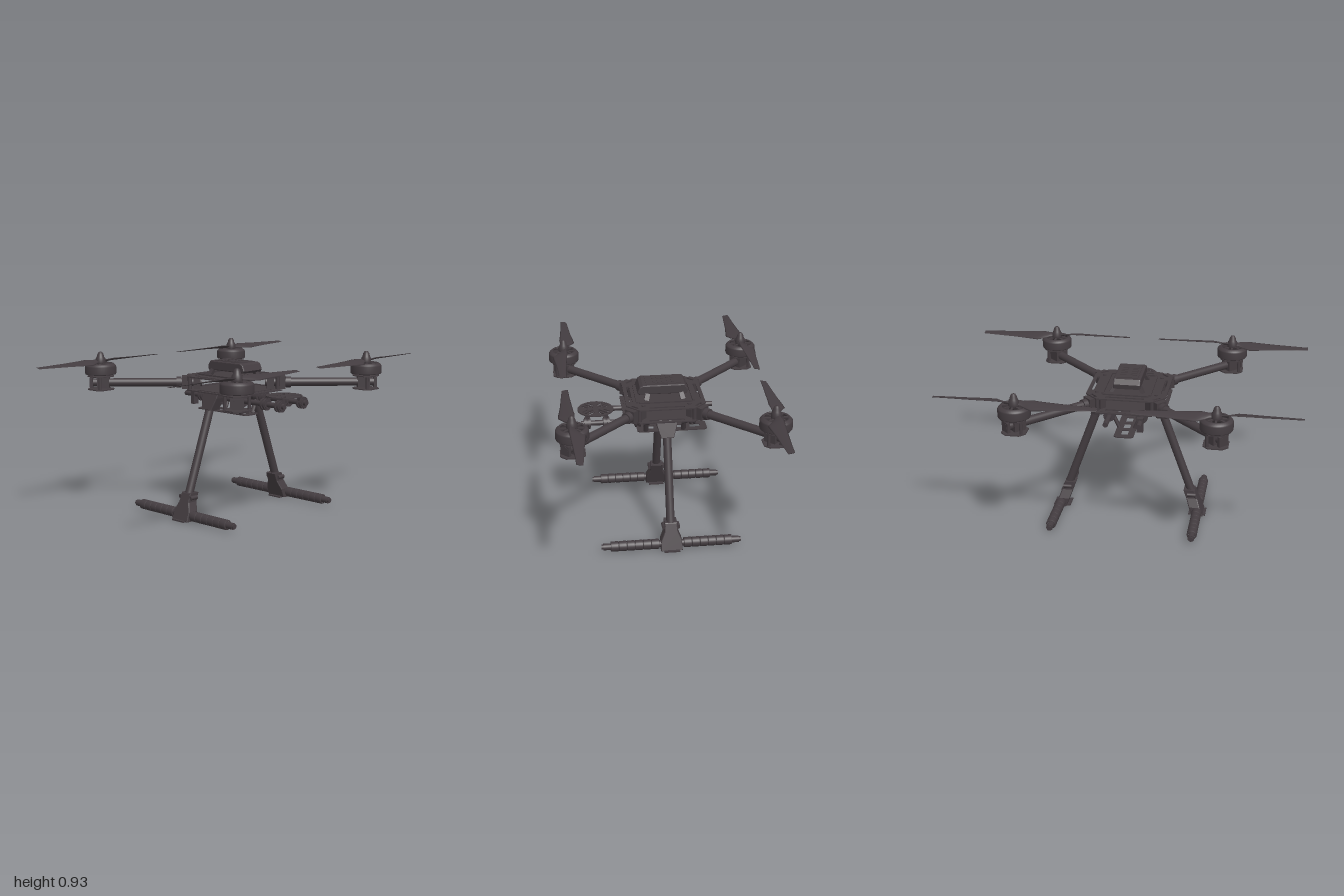
import * as THREE from 'three';

const mat = new THREE.MeshStandardMaterial({ color: 0x433c40 });
const V = (x, y, z) => new THREE.Vector3(x, y, z);

function add(parent, name, geo, x = 0, y = 0, z = 0) {
  const m = new THREE.Mesh(geo, mat);
  m.name = name;
  m.position.set(x, y, z);
  parent.add(m);
  return m;
}
function box(parent, name, w, h, d, x, y, z) {
  return add(parent, name, new THREE.BoxGeometry(w, h, d), x, y, z);
}
// Round bar between two points
function rod(parent, name, a, b, r, sides = 24) {
  const m = add(parent, name, new THREE.CylinderGeometry(r, r, a.distanceTo(b), sides));
  m.position.copy(a).add(b).multiplyScalar(0.5);
  m.quaternion.setFromUnitVectors(V(0, 1, 0), b.clone().sub(a).normalize());
  return m;
}
const poly = pts => new THREE.Shape(pts.map(p => new THREE.Vector2(...p)));
// Rectangle with cut corners
const cutRect = (w, d, c) => poly([[w, d - c], [w - c, d], [c - w, d], [-w, d - c], [-w, c - d], [c - w, -d], [w - c, -d], [w, c - d]]);
function slot(cx, cy, len, wid, angle = 0) {
  const c = Math.cos(angle), s = Math.sin(angle), l = len / 2, w = wid / 2;
  return new THREE.Path([[-l, -w], [-l, w], [l, w], [l, -w]].map(([u, v]) =>
    new THREE.Vector2(cx + u * c - v * s, cy + u * s + v * c)));
}
// Flat horizontal plate whose underside is at y
function plate(parent, name, shape, t, x, y, z = 0) {
  const g = new THREE.ExtrudeGeometry(shape, { depth: t, bevelEnabled: false, curveSegments: 32 });
  return add(parent, name, g.rotateX(-Math.PI / 2), x, y, z);
}
// Front profile extruded in depth and leaned along the leg slope
function leaning(parent, name, pts, depth, zAt) {
  const g = new THREE.ExtrudeGeometry(poly(pts), { depth: depth - 0.012, bevelSize: 0.004, bevelThickness: 0.006, bevelSegments: 2 });
  const p = g.attributes.position;
  for (let i = 0; i < p.count; i++) p.setZ(i, p.getZ(i) - depth / 2 + zAt(p.getY(i)));
  g.computeVertexNormals();
  return add(parent, name, g);
}

// Tapered, twisted blade along +z: [distance, edge x, edge x, pitch]
function bladeGeometry() {
  const rows = [[0.0, -0.014, 0.014, 0.004], [0.04, -0.018, 0.016, 0.008], [0.075, -0.045, 0.019, 0.012], [0.11, -0.07, 0.021, 0.012],
    [0.15, -0.066, 0.017, 0.010], [0.25, -0.053, 0.010, 0.007], [0.36, -0.044, 0.003, 0.005], [0.455, -0.036, -0.001, 0.003]];
  const n = 10, pos = [], idx = [];
  rows.forEach(([z, x0, x1, pitch], i) => {
    for (let j = 0; j < n; j++) {
      const a = j / n * Math.PI * 2, c = Math.cos(a);
      pos.push((x0 + x1) / 2 + c * (x1 - x0) / 2, c * pitch + Math.sin(a) * (0.006 - i * 0.0006), z);
      if (i < rows.length - 1) {
        const k = (j + 1) % n, p = i * n + j, q = i * n + k;
        idx.push(p, q, q + n, p, q + n, p + n);
      } else if (j > 1) idx.push(i * n, i * n + j - 1, i * n + j);
    }
  });
  const g = new THREE.BufferGeometry();
  g.setAttribute('position', new THREE.Float32BufferAttribute(pos, 3));
  g.setIndex(idx);
  g.computeVertexNormals();
  return g;
}
const lathe = pts => new THREE.LatheGeometry(pts.map(p => new THREE.Vector2(...p)), 40);

// Arm, motor and propeller for the +x +z corner
function makeArm() {
  const g = new THREE.Group();
  const M = 0.545;
  rod(g, 'armTube', V(0.13, 0.75, 0.13), V(0.59, 0.75, 0.59), 0.024);
  for (const [d, l, w, h] of [[0.15, 0.04, 0.07, 0.072], [0.2, 0.035, 0.066, 0.072], [0.535, 0.07, 0.072, 0.062], [0.583, 0.018, 0.06, 0.056]])
    box(g, 'armClamp', w, h, l, d, 0.75, d).rotation.y = Math.PI / 4;
  rod(g, 'armCollar', V(0.215, 0.75, 0.215), V(0.235, 0.75, 0.235), 0.032);
  rod(g, 'hingePin', V(0.205, 0.712, 0.155), V(0.205, 0.788, 0.155), 0.012);
  rod(g, 'hingePin', V(0.155, 0.712, 0.205), V(0.155, 0.788, 0.205), 0.012);
  for (const y of [0.709, 0.785]) plate(g, 'motorMountPlate', cutRect(0.068, 0.068, 0.03), 0.006, M, y, M);
  for (const s of [-1, 1]) rod(g, 'mountPost', V(M + s * 0.045, 0.712, M - s * 0.045), V(M + s * 0.045, 0.788, M - s * 0.045), 0.009, 12);
  const motor = new THREE.Group();
  motor.name = 'motor';
  motor.position.set(M, 0, M);
  g.add(motor);
  add(motor, 'motorBell', lathe([[0.078, 0.802], [0.088, 0.80], [0.09, 0.805], [0.09, 0.845], [0.086, 0.852], [0.074, 0.863], [0.064, 0.863], [0.064, 0.855], [0.078, 0.845], [0.078, 0.802]]));
  add(motor, 'stator', lathe([[0, 0.79], [0.034, 0.79], [0.04, 0.802], [0.048, 0.806], [0.048, 0.838], [0.03, 0.844], [0, 0.844]]));
  for (let i = 0; i < 8; i++) {
    const a = i * Math.PI / 4;
    box(motor, 'motorSpoke', 0.05, 0.008, 0.011, Math.cos(a) * 0.046, 0.858, Math.sin(a) * 0.046).rotation.y = -a;
  }
  for (let i = 0; i < 3; i++) {
    const a = i * Math.PI * 2 / 3 + 0.4;
    box(motor, 'statorFoot', 0.06, 0.008, 0.02, Math.cos(a) * 0.05, 0.804, Math.sin(a) * 0.05).rotation.y = -a;
  }
  add(motor, 'propellerHub', lathe([[0, 0.845], [0.028, 0.845], [0.03, 0.868], [0.028, 0.89], [0.022, 0.898], [0.018, 0.915], [0.011, 0.927], [0, 0.93]]));
  const blade = bladeGeometry();
  for (const r of [0, Math.PI]) add(motor, 'propellerBlade', blade, 0, 0.875, 0).rotation.y = r;
  return g;
}

// Landing leg on the +z side
function makeLeg() {
  const g = new THREE.Group();
  const axis = y => 0.17 + (0.69 - y) * 0.362;
  rod(g, 'legTube', V(0, 0.69, axis(0.69)), V(0, 0.06, axis(0.06)), 0.024);
  leaning(g, 'legTopBracket', [[-0.058, 0.706], [-0.054, 0.68], [-0.034, 0.615], [0.034, 0.615], [0.054, 0.68], [0.058, 0.706]], 0.07, axis);
  rod(g, 'legHinge', V(-0.05, 0.668, 0.135), V(0.05, 0.668, 0.135), 0.03);
  leaning(g, 'footBracket', [[-0.058, 0.006], [-0.056, 0.055], [-0.034, 0.105], [-0.032, 0.152], [0.032, 0.152], [0.034, 0.105], [0.056, 0.055], [0.058, 0.006]], 0.066, axis);
  box(g, 'footPad', 0.09, 0.008, 0.1, 0, 0.004, 0.408);
  for (const s of [-1, 1]) {
    rod(g, 'footScrew', V(s * 0.04, 0.13, axis(0.13) - 0.025), V(s * 0.04, 0.13, axis(0.13) + 0.025), 0.012);
    for (let i = 0; i < 6; i++) {
      const sleeve = add(g, 'foamSleeve', lathe([[0.02, -0.0225], [0.026, -0.0225], [0.029, -0.019], [0.029, 0.019], [0.026, 0.0225], [0.02, 0.0225]]), s * (0.093 + i * 0.0465), 0.035, 0.41);
      sleeve.rotation.z = Math.PI / 2;
    }
    rod(g, 'footBarCap', V(s * 0.385, 0.035, 0.41), V(s * 0.4, 0.035, 0.41), 0.014);
  }
  rod(g, 'footBar', V(-0.39, 0.035, 0.41), V(0.39, 0.035, 0.41), 0.019);
  return g;
}

export function createModel() {
  const model = new THREE.Group();
  model.name = 'quadcopter';

  // Four mirrored arms, two mirrored legs
  for (const sx of [-1, 1]) for (const sz of [-1, 1]) {
    const arm = makeArm();
    arm.name = (sz > 0 ? 'front' : 'back') + (sx > 0 ? 'Left' : 'Right') + 'Arm';
    arm.scale.set(sx, 1, sz);
    model.add(arm);
  }
  for (const s of [-1, 1]) {
    const leg = makeLeg();
    leg.name = s > 0 ? 'frontLeg' : 'backLeg';
    leg.scale.z = s;
    model.add(leg);
  }

  // Body plates with lightening slots
  for (const [name, y] of [['bottomPlate', 0.707], ['topPlate', 0.785]]) {
    const shape = cutRect(0.225, 0.228, 0.07);
    for (const s of [-1, 1]) {
      shape.holes.push(slot(s * 0.195, 0, 0.22, 0.018, Math.PI / 2), slot(0, s * 0.2, 0.2, 0.016));
      for (const t of [-1, 1]) shape.holes.push(slot(s * 0.18, t * 0.18, 0.05, 0.014, -s * t * Math.PI / 4));
    }
    plate(model, name, shape, 0.007, 0, y);
  }
  for (const s of [-1, 1]) {
    box(model, 'sideStrip', 0.022, 0.006, 0.32, s * 0.228, 0.71, 0);
    box(model, 'topRail', 0.3, 0.008, 0.014, 0, 0.796, s * 0.135);
    box(model, 'topRail', 0.014, 0.008, 0.26, s * 0.16, 0.796, 0);
    for (const t of [-1, 1]) {
      const foot = box(model, 'podFoot', 0.026, 0.04, 0.02, s * 0.1, 0.806, t * 0.082);
      foot.rotation.set(-t * 0.5, 0, s * 0.25);
      rod(model, 'topScrew', V(s * 0.13, 0.79, t * 0.17), V(s * 0.13, 0.799, t * 0.17), 0.011, 12);
    }
  }

  // Electronics pod on top
  const pod = new THREE.ExtrudeGeometry(poly([[-0.125, 0.825], [-0.128, 0.845], [-0.113, 0.868], [0.122, 0.868], [0.136, 0.86], [0.148, 0.832], [0.142, 0.825]]),
    { depth: 0.14, bevelSize: 0.006, bevelThickness: 0.008, bevelSegments: 3 });
  add(model, 'electronicsPod', pod, 0, 0, -0.07);
  box(model, 'podLid', 0.2, 0.004, 0.12, 0.005, 0.875, 0);
  for (let i = 0; i < 5; i++) for (const s of [-1, 1])
    box(model, 'podVent', 0.014, 0.004, 0.035, -0.05 + i * 0.027, 0.878, s * 0.03);

  // Accessory rails with ring clamps, hangers and tray
  for (const s of [-1, 1]) {
    const z = s * 0.093;
    rod(model, 'accessoryRail', V(-0.3, 0.667, z), V(0.478, 0.667, z), 0.015);
    for (const x of [-0.157, 0.157, 0.335, 0.443]) {
      rod(model, 'railClamp', V(x - 0.019, 0.667, z), V(x + 0.019, 0.667, z), 0.026);
      for (const d of [-0.011, 0.011]) rod(model, 'clampRing', V(x + d - 0.005, 0.667, z), V(x + d + 0.005, 0.667, z), 0.034);
      box(model, 'clampPost', 0.022, 0.03, 0.022, x, 0.695, z * (x > 0.3 ? 0.8 : 1));
    }
    for (const x of [-0.113, 0.105]) {
      const strut = rod(model, 'trayHanger', V(x, 0.675, s * 0.09), V(x, 0.577, s * 0.045), 0.011, 12);
      strut.scale.x = 1.3;
      rod(model, 'hangerRing', V(x - 0.014, 0.667, z), V(x + 0.014, 0.667, z), 0.028);
    }
  }
  const tray = cutRect(0.203, 0.056, 0.015);
  for (let i = 0; i < 4; i++) tray.holes.push(slot(-0.135 + i * 0.09, 0, 0.06, 0.04));
  plate(model, 'tray', tray, 0.006, -0.05, 0.572);
  box(model, 'railBracket', 0.026, 0.084, 0.036, -0.23, 0.651, 0.093);

  // Slotted round plate at the rail ends
  const disc = new THREE.Shape();
  disc.absarc(0, 0, 0.103, 0, Math.PI * 2);
  for (let q = 0; q < 4; q++) {
    const a = Math.PI / 4 + q * Math.PI / 2, c = Math.cos(a), s = Math.sin(a);
    for (const o of [-0.023, 0, 0.023]) {
      const mid = o ? 0.062 : 0.056, len = o ? 0.046 : 0.07;
      disc.holes.push(slot(c * mid - s * o, s * mid + c * o, len, 0.013, a));
    }
  }
  plate(model, 'roundMountPlate', disc, 0.006, 0.39, 0.707);
  return model;
}
